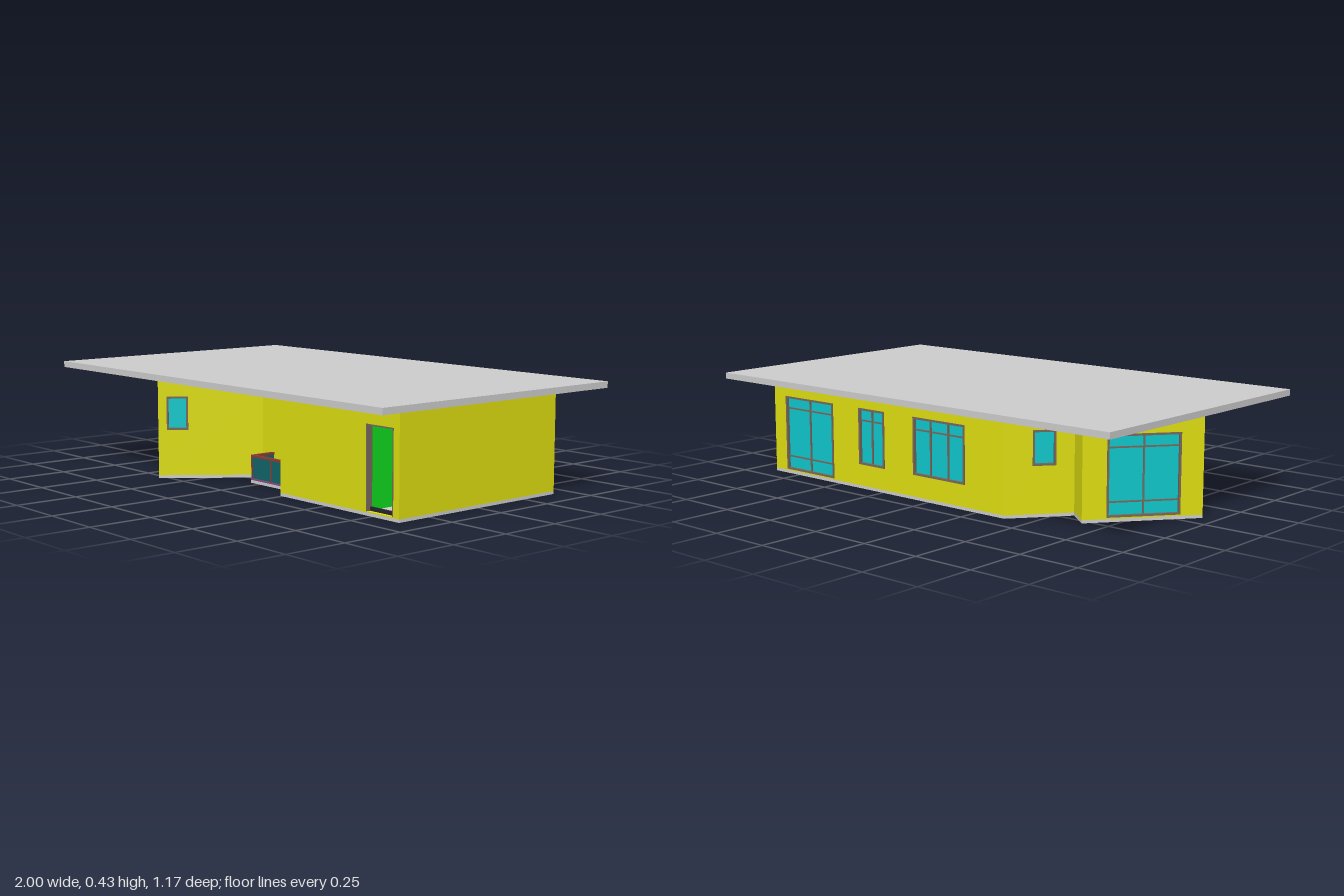
import * as THREE from 'three';

const mat = (color, side = THREE.FrontSide) => new THREE.MeshStandardMaterial({ color, side });
const GREY = mat(0xcccccc), YELLOW = mat(0xdcdc10), GLASS = mat(0x0fc6ca), FRAME = mat(0x75685c);
const GREEN = mat(0x10d820), DARK = mat(0x24242c), RAIL = mat(0x8a3c34), SILL = mat(0x8c4680), PANEL = mat(0x126468);

const FLOOR = 0.012, TOP = 0.405, THICK = 0.025;

function box(parent, name, material, x0, x1, y0, y1, z0, z1) {
  const mesh = new THREE.Mesh(new THREE.BoxGeometry(x1 - x0, y1 - y0, z1 - z0), material);
  mesh.position.set((x0 + x1) / 2, (y0 + y1) / 2, (z0 + z1) / 2);
  mesh.name = name;
  parent.add(mesh);
  return mesh;
}

// Rectangle path, used for wall faces and their openings
function rect(path, x0, x1, y0, y1) {
  path.moveTo(x0, y0);
  path.lineTo(x1, y0);
  path.lineTo(x1, y1);
  path.lineTo(x0, y1);
  path.closePath();
  return path;
}

// Frame, glass and bars of one window, in the wall's own coordinates
function addWindow(parent, { u0, u1, y0, y1, bars = [], transoms = [] }) {
  const win = new THREE.Group();
  win.name = 'window';
  const w = 0.008, back = -0.02, front = 0.004;
  box(win, 'windowGlass', GLASS, u0, u1, y0, y1, -0.014, -0.008);
  box(win, 'windowFrameSide', FRAME, u0, u0 + w, y0, y1, back, front);
  box(win, 'windowFrameSide', FRAME, u1 - w, u1, y0, y1, back, front);
  box(win, 'windowFrameTop', FRAME, u0 + w, u1 - w, y1 - w, y1, back, front);
  box(win, 'windowFrameBottom', FRAME, u0 + w, u1 - w, y0, y0 + w, back, front);
  for (const b of bars) {
    const u = u0 + (u1 - u0) * b;
    box(win, 'windowBar', FRAME, u - 0.003, u + 0.003, y0 + w, y1 - w, back, -0.002);
  }
  for (const y of transoms) box(win, 'windowTransom', FRAME, u0 + w, u1 - w, y - 0.003, y + 0.003, back, -0.003);
  parent.add(win);
}

// Thin trim around a doorway
function addDoorTrim(parent, { u0, u1, y0, y1 }) {
  const w = 0.005;
  box(parent, 'doorTrimSide', FRAME, u0, u0 + w, y0, y1, -THICK, 0.001);
  box(parent, 'doorTrimSide', FRAME, u1 - w, u1, y0, y1, -THICK, 0.001);
  box(parent, 'doorTrimTop', FRAME, u0, u1, y1 - w, y1, -THICK, 0.001);
}

// Wall from p to q, left to right as seen from outside
function addWall(parent, p, q, openings = []) {
  const dx = q[0] - p[0], dz = q[1] - p[1];
  const wall = new THREE.Group();
  wall.name = 'wall';
  wall.position.set(p[0], 0, p[1]);
  wall.rotation.y = Math.atan2(-dz, dx);
  const shape = rect(new THREE.Shape(), 0, Math.hypot(dx, dz), FLOOR, TOP);
  for (const o of openings) shape.holes.push(rect(new THREE.Path(), o.u0, o.u1, o.y0, o.y1));
  const geo = new THREE.ExtrudeGeometry(shape, { depth: THICK, bevelEnabled: false });
  geo.translate(0, 0, -THICK);
  const panel = new THREE.Mesh(geo, YELLOW);
  panel.name = 'wallPanel';
  wall.add(panel);
  for (const o of openings) (o.door ? addDoorTrim : addWindow)(wall, o);
  parent.add(wall);
}

export function createModel() {
  const house = new THREE.Group();
  house.name = 'house';

  // Plan corners (x, z), counter-clockwise from the front of the angled wing
  const plan = [
    [-0.37, 0.535], [-0.11, 0.205], [0.24, 0.205], [0.24, 0.4], [0.89, 0.4],
    [0.89, -0.415], [-0.39, -0.415], [-0.557, -0.206], [-0.651, -0.281], [-0.94, 0.08],
  ];
  const openings = {
    0: [{ u0: 0.034, u1: 0.12, y0: 0.197, y1: 0.332 }],
    1: [{ door: true, u0: 0.25, u1: 0.345, y0: 0.02, y1: 0.33 }],
    3: [{ door: true, u0: 0.48, u1: 0.62, y0: 0.016, y1: 0.33 }],
    5: [
      { u0: 0.072, u1: 0.359, y0: 0.018, y1: 0.33, bars: [0.5], transoms: [0.075, 0.28] },
      { u0: 0.51, u1: 0.654, y0: 0.1, y1: 0.33, bars: [0.5], transoms: [0.28] },
      { u0: 0.813, u1: 1.084, y0: 0.1, y1: 0.33, bars: [0.33, 0.67], transoms: [0.28] },
    ],
    6: [{ u0: 0.108, u1: 0.197, y0: 0.197, y1: 0.332 }],
    8: [{ u0: 0.093, u1: 0.375, y0: 0.018, y1: 0.33, bars: [0.5], transoms: [0.075, 0.28] }],
  };
  plan.forEach((p, i) => addWall(house, p, plan[(i + 1) % plan.length], openings[i]));

  // Floor slab, reaching out under the balcony
  const slabPlan = [...plan.slice(0, 2), [-0.05, 0.205], [-0.05, 0.315], [0.24, 0.315], ...plan.slice(3)];
  const slabShape = new THREE.Shape(slabPlan.map(([x, z]) => new THREE.Vector2(x, -z)));
  const slabGeo = new THREE.ExtrudeGeometry(slabShape, { depth: FLOOR, bevelEnabled: false });
  slabGeo.rotateX(-Math.PI / 2);
  const slab = new THREE.Mesh(slabGeo, GREY);
  slab.name = 'floorSlab';
  house.add(slab);

  // Flat overhanging roof
  box(house, 'roof', GREY, -1, 1, TOP, 0.43, -0.585, 0.585);

  // Entrance: open door leaf and the hall wall behind it
  box(house, 'openDoor', GREEN, 0.712, 0.722, 0.016, 0.328, 0.24, 0.376);
  box(house, 'hallWall', YELLOW, 0.5, 0.865, 0.03, TOP, 0.08, 0.1);
  box(house, 'hallSkirting', DARK, 0.5, 0.865, FLOOR, 0.03, 0.08, 0.102);
  box(house, 'doorThreshold', DARK, 0.725, 0.855, FLOOR, 0.03, 0.375, 0.385);

  // Balcony door, set back in its opening
  box(house, 'balconyDoor', YELLOW, 0.145, 0.23, 0.02, 0.325, 0.184, 0.194);

  // Balcony railing: front and one side
  const balcony = new THREE.Group();
  balcony.name = 'balcony';
  box(balcony, 'railingPanel', PANEL, -0.045, 0.24, 0.018, 0.104, 0.304, 0.31);
  box(balcony, 'railingPanel', PANEL, -0.046, -0.04, 0.018, 0.104, 0.205, 0.304);
  box(balcony, 'handrail', RAIL, -0.05, 0.24, 0.104, 0.113, 0.3, 0.315);
  box(balcony, 'handrail', RAIL, -0.05, -0.036, 0.104, 0.113, 0.205, 0.3);
  box(balcony, 'bottomRail', SILL, -0.05, 0.24, FLOOR, 0.018, 0.3, 0.315);
  box(balcony, 'bottomRail', SILL, -0.05, -0.036, FLOOR, 0.018, 0.205, 0.3);
  for (const x of [-0.05, 0.068, 0.234]) box(balcony, 'railingPost', RAIL, x, x + 0.006, 0.018, 0.104, 0.302, 0.313);
  house.add(balcony);

  return house;
}
